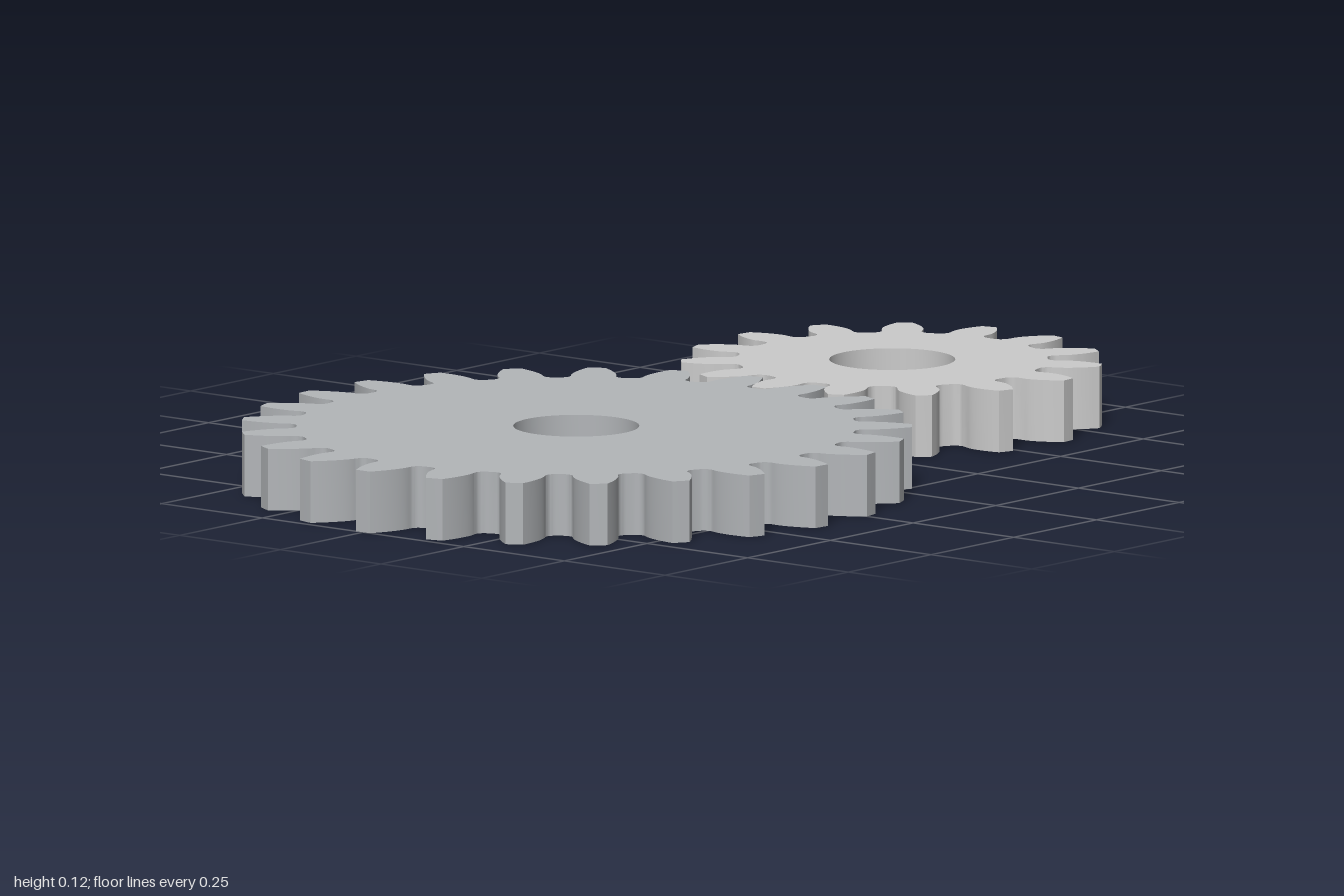
import * as THREE from 'three';
import { toCreasedNormals } from 'three/addons/utils/BufferGeometryUtils.js';

const M = 0.04775;            // gear module: pitch diameter / tooth count
const THICKNESS = 0.12;
const BORE = 0.121;
const PRESSURE = THREE.MathUtils.degToRad(20);
const inv = (a) => Math.tan(a) - a;

// One flank as [half angle, radius] pairs, from the root fillet to the tip
function flankProfile(teeth) {
  const pitch = (teeth * M) / 2;
  const base = pitch * Math.cos(PRESSURE);
  const root = pitch - 1.25 * M;
  const tip = pitch + M;
  const halfAngle = (r) =>
    Math.PI / (2 * teeth) + inv(PRESSURE) - inv(Math.acos(Math.min(1, base / r)));
  const fillet = 0.4 * M;
  const foot = halfAngle(base);
  const points = [];
  // Rounded root corner
  for (let i = 0; i <= 5; i++) {
    const t = (i / 5) * Math.PI / 2;
    points.push([
      foot + (fillet / root) * (1 - Math.sin(t)),
      root + fillet * (1 - Math.cos(t)),
    ]);
  }
  // Involute face
  for (let i = 0; i <= 8; i++) {
    const r = base + (tip - base) * (i / 8);
    points.push([halfAngle(r), r]);
  }
  return points;
}

function makeGear(name, teeth, color, x, phase) {
  const flank = flankProfile(teeth);
  const outline = [];
  const add = (angle, r) =>
    outline.push(new THREE.Vector2(r * Math.cos(angle), r * Math.sin(angle)));
  for (let i = 0; i < teeth; i++) {
    const centre = phase + (i / teeth) * Math.PI * 2;
    flank.forEach(([a, r]) => add(centre - a, r));
    add(centre, flank[flank.length - 1][1]);
    [...flank].reverse().forEach(([a, r]) => add(centre + a, r));
  }
  const shape = new THREE.Shape(outline);
  shape.holes.push(new THREE.Path().absarc(0, 0, BORE, 0, Math.PI * 2, true));

  const extruded = new THREE.ExtrudeGeometry(shape, {
    depth: THICKNESS, bevelEnabled: false, curveSegments: 32,
  });
  extruded.rotateX(-Math.PI / 2);
  const mesh = new THREE.Mesh(
    toCreasedNormals(extruded, Math.PI / 6),
    new THREE.MeshStandardMaterial({ color })
  );
  mesh.name = name;
  mesh.position.x = x;
  return mesh;
}

export function createModel() {
  const group = new THREE.Group();
  group.name = 'gearPair';
  const wheelX = -1 + 13.5 * M;
  // Both have a tooth pointing to -x, so the pinion tooth sits in a wheel gap
  group.add(makeGear('largeGear', 25, 0xb3b6b9, wheelX, Math.PI));
  group.add(makeGear('smallGear', 15, 0xcccccc, wheelX + 20 * M, Math.PI));
  return group;
}
